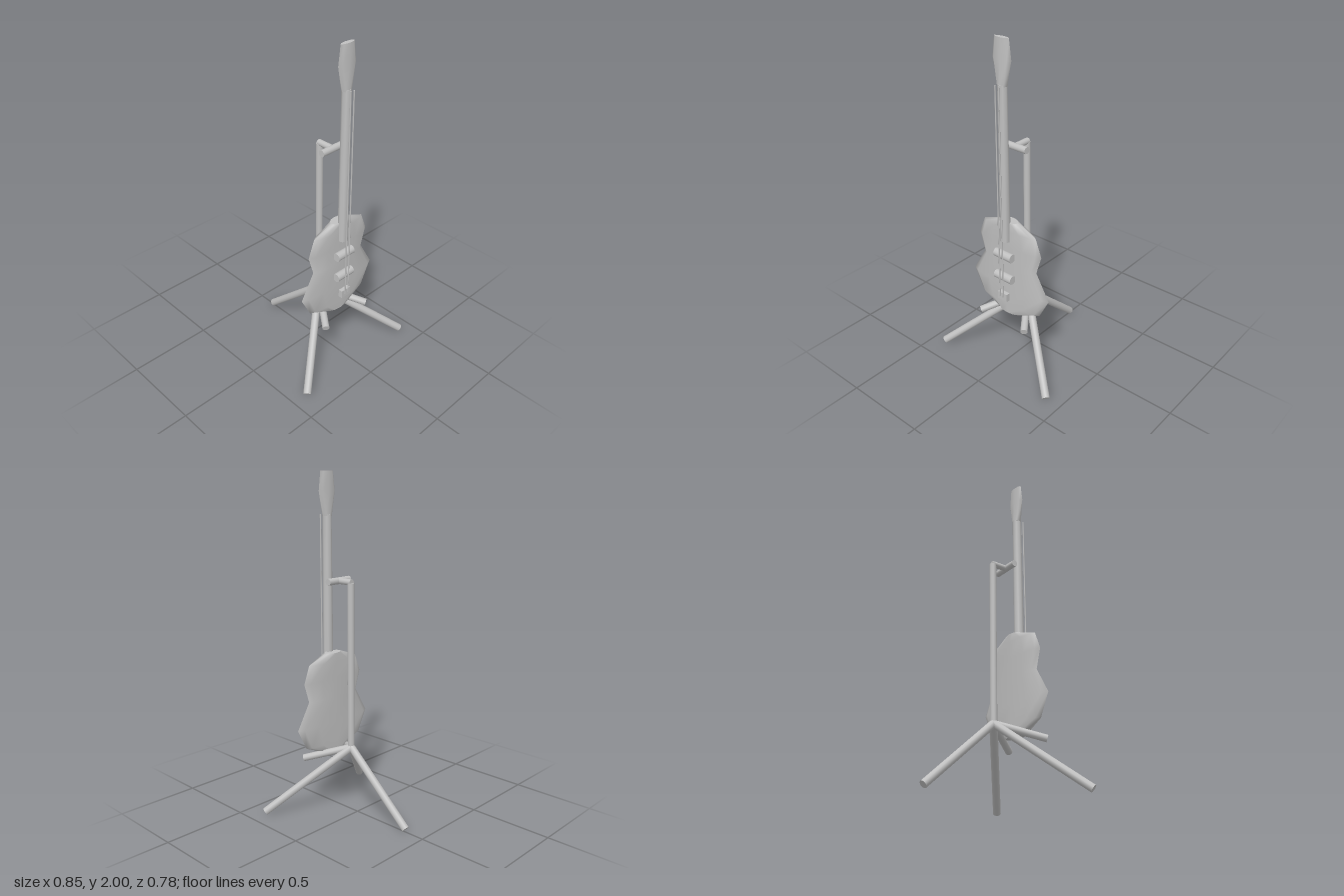
import * as THREE from 'three';

const grey = new THREE.MeshStandardMaterial({ color: 0xc0c0c0 });
grey.name = 'plain grey';

// Lofts elliptical rings [y, halfWidth, halfDepth] from bottom to top, with flat end caps
function loft(rings, sides) {
  const pos = [], idx = [];
  const addRing = ([y, a, b]) => {
    const start = pos.length / 3;
    for (let j = 0; j < sides; j++) {
      const t = (j / sides) * Math.PI * 2;
      pos.push(a * Math.cos(t), y, b * Math.sin(t));
    }
    return start;
  };
  const starts = rings.map(addRing);
  for (let i = 0; i < rings.length - 1; i++) {
    for (let j = 0; j < sides; j++) {
      const k = (j + 1) % sides, p = starts[i], q = starts[i + 1];
      idx.push(p + j, q + j, p + k, q + j, q + k, p + k);
    }
  }
  [rings[0], rings[rings.length - 1]].forEach((ring, top) => {
    const s = addRing(ring);
    for (let j = 1; j < sides - 1; j++) {
      if (top) idx.push(s, s + j + 1, s + j);
      else idx.push(s, s + j, s + j + 1);
    }
  });
  const g = new THREE.BufferGeometry();
  g.setAttribute('position', new THREE.Float32BufferAttribute(pos, 3));
  g.setIndex(idx);
  g.computeVertexNormals();
  return g;
}

export function createModel() {
  const model = new THREE.Group();
  model.name = 'guitarOnStand';
  const guitar = new THREE.Group();
  guitar.name = 'guitar';
  const stand = new THREE.Group();
  stand.name = 'stand';
  model.add(guitar, stand);

  const add = (parent, name, geometry, x = 0, y = 0, z = 0) => {
    const mesh = new THREE.Mesh(geometry, grey);
    mesh.name = name;
    mesh.position.set(x, y, z);
    parent.add(mesh);
    return mesh;
  };

  // Round bar between two points
  const bar = (parent, name, from, to, radius, sides = 12) => {
    const a = new THREE.Vector3(...from), b = new THREE.Vector3(...to);
    const dir = b.clone().sub(a);
    const mesh = add(parent, name, new THREE.CylinderGeometry(radius, radius, dir.length(), sides));
    mesh.position.copy(a).add(b).multiplyScalar(0.5);
    mesh.quaternion.setFromUnitVectors(new THREE.Vector3(0, 1, 0), dir.normalize());
    return mesh;
  };

  // Waisted body with a lens-shaped section
  const outline = [[0.35, 0.08], [0.41, 0.22], [0.535, 0.285], [0.69, 0.195],
    [0.805, 0.23], [0.91, 0.19], [0.96, 0.058]];
  add(guitar, 'body', loft(outline.map(([y, a]) => [y, a, 0.035]), 12), 0, 0, 0.203);

  // Neck and flared headstock
  add(guitar, 'neck', loft([[0.845, 0.03, 0.029], [1.76, 0.027, 0.026]], 8), 0, 0, 0.24);
  add(guitar, 'headstock',
    loft([[1.75, 0.03, 0.024], [1.89, 0.063, 0.019], [2, 0.049, 0.015]], 8), 0, 0, 0.239);

  // Pickups, bridge and strings
  for (const y of [0.755, 0.61]) {
    bar(guitar, 'pickup', [-0.062, y, 0.253], [0.062, y, 0.253], 0.026);
  }
  add(guitar, 'bridge', new THREE.BoxGeometry(0.068, 0.048, 0.025), 0, 0.484, 0.264);
  for (const x of [-0.012, 0.012]) {
    bar(guitar, 'string', [x, 0.485, 0.281], [x, 1.76, 0.281], 0.004, 6);
  }

  // Upright with a forward neck rest
  bar(stand, 'upright', [0, 0.4, 0.052], [0, 1.385, 0.052], 0.02);
  bar(stand, 'restArm', [0, 1.388, 0.045], [0, 1.388, 0.15], 0.018);
  bar(stand, 'restCrossbar', [-0.084, 1.388, 0.15], [0.084, 1.388, 0.15], 0.02);

  // Tripod legs and cradle arms
  const hub = [0, 0.4, 0.05];
  bar(stand, 'rearLeg', hub, [0, 0.0175, -0.377], 0.023);
  for (const side of [-1, 1]) {
    bar(stand, 'frontLeg', hub, [side * 0.408, 0.019, 0.372], 0.023);
    bar(stand, 'cradleArm', hub, [side * 0.17, 0.317, 0.284], 0.021);
  }
  return model;
}
